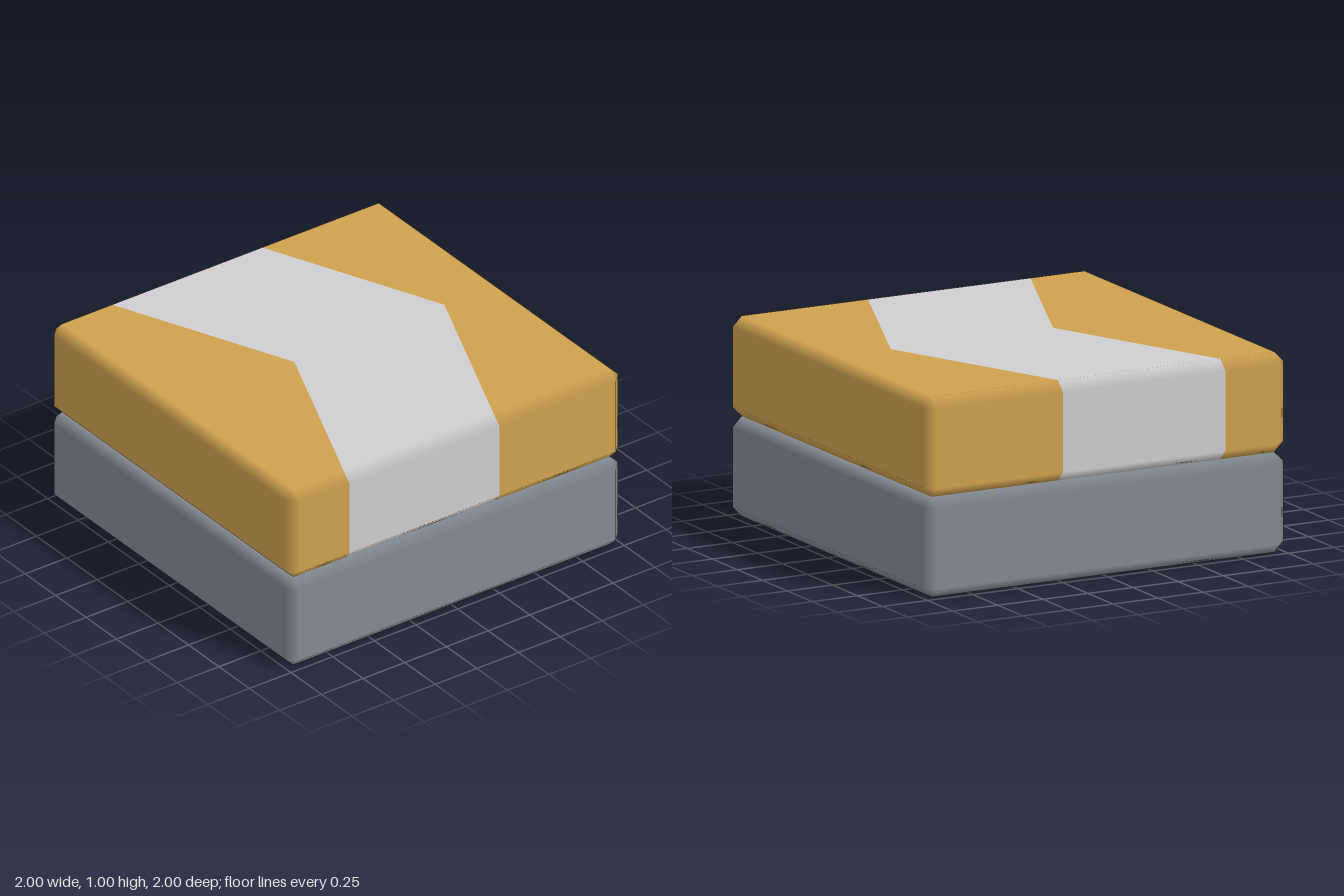
import * as THREE from 'three';

const BEVEL = 0.05;
const INNER = 1 - BEVEL;

// Cross-section of a bevelled slab, counter-clockwise seen from the front: [x, y, normalX, normalY]
function slabRing(low, high) {
  return [
    [1, low + BEVEL, 1, 0], [1, high - BEVEL, 1, 0],
    [INNER, high, 0, 1], [0, high, 0, 1], [-INNER, high, 0, 1],
    [-1, high - BEVEL, -1, 0], [-1, low + BEVEL, -1, 0],
    [-INNER, low, 0, -1], [0, low, 0, -1], [INNER, low, 0, -1],
  ];
}

// Loft the ring through sections ordered back to front.
// A section has z, an optional peak (shift of the centre line) and an optional cap (-1 back, 1 front).
function loftSlab(low, high, sections) {
  const ring = slabRing(low, high);
  const n = ring.length;
  const positions = [], normals = [], index = [];
  sections.forEach(({ z, peak = 0, cap = 0 }, s) => {
    for (const [x, y, nx, ny] of ring) {
      if (cap) {
        positions.push(
          THREE.MathUtils.clamp(x, -INNER, INNER),
          THREE.MathUtils.clamp(y, low + BEVEL, high - BEVEL), z);
        normals.push(0, 0, cap);
      } else {
        positions.push(x, y, x === 0 ? z + peak : z);
        normals.push(nx, ny, 0);
      }
    }
    const base = s * n;
    if (s > 0) {
      for (let i = 0; i < n; i++) {
        const j = (i + 1) % n;
        const a = base - n + i, b = base - n + j, c = base + j, d = base + i;
        index.push(a, b, c, a, c, d);
      }
    }
    if (cap) {
      for (let i = 1; i < n - 1; i++) {
        if (cap > 0) index.push(base, base + i, base + i + 1);
        else index.push(base, base + i + 1, base + i);
      }
    }
  });
  const geometry = new THREE.BufferGeometry();
  geometry.setAttribute('position', new THREE.Float32BufferAttribute(positions, 3));
  geometry.setAttribute('normal', new THREE.Float32BufferAttribute(normals, 3));
  geometry.setIndex(index);
  return geometry;
}

export function createModel() {
  const material = (name, color) => {
    const m = new THREE.MeshStandardMaterial({ color });
    m.name = name;
    return m;
  };
  const gold = material('gold', 0xd0a14f);
  const silver = material('silver', 0xcfcfd1);
  const slate = material('slate grey', 0x828b92);

  const model = new THREE.Group();
  model.name = 'stackedPad';
  const add = (name, low, high, sections, mat) => {
    const mesh = new THREE.Mesh(loftSlab(low, high, sections), mat);
    mesh.name = name;
    model.add(mesh);
  };

  // Section lines shared by the parts
  const backEnd = [{ z: -1, cap: -1 }, { z: -INNER }];
  const frontEnd = [{ z: INNER }, { z: 1, cap: 1 }];
  const chevronBack = { z: -0.25, peak: -0.4 };
  const chevronFront = { z: 0.65, peak: -0.4 };

  // Plain lower slab
  add('baseSlab', 0, 0.5, [...backEnd, ...frontEnd], slate);

  // Upper slab, divided by a chevron band that wraps over the sides
  add('topSlabBack', 0.5, 1, [...backEnd, chevronBack], gold);
  add('chevronBand', 0.5, 1, [chevronBack, chevronFront], silver);
  add('topSlabFront', 0.5, 1, [chevronFront, ...frontEnd], gold);

  return model;
}
